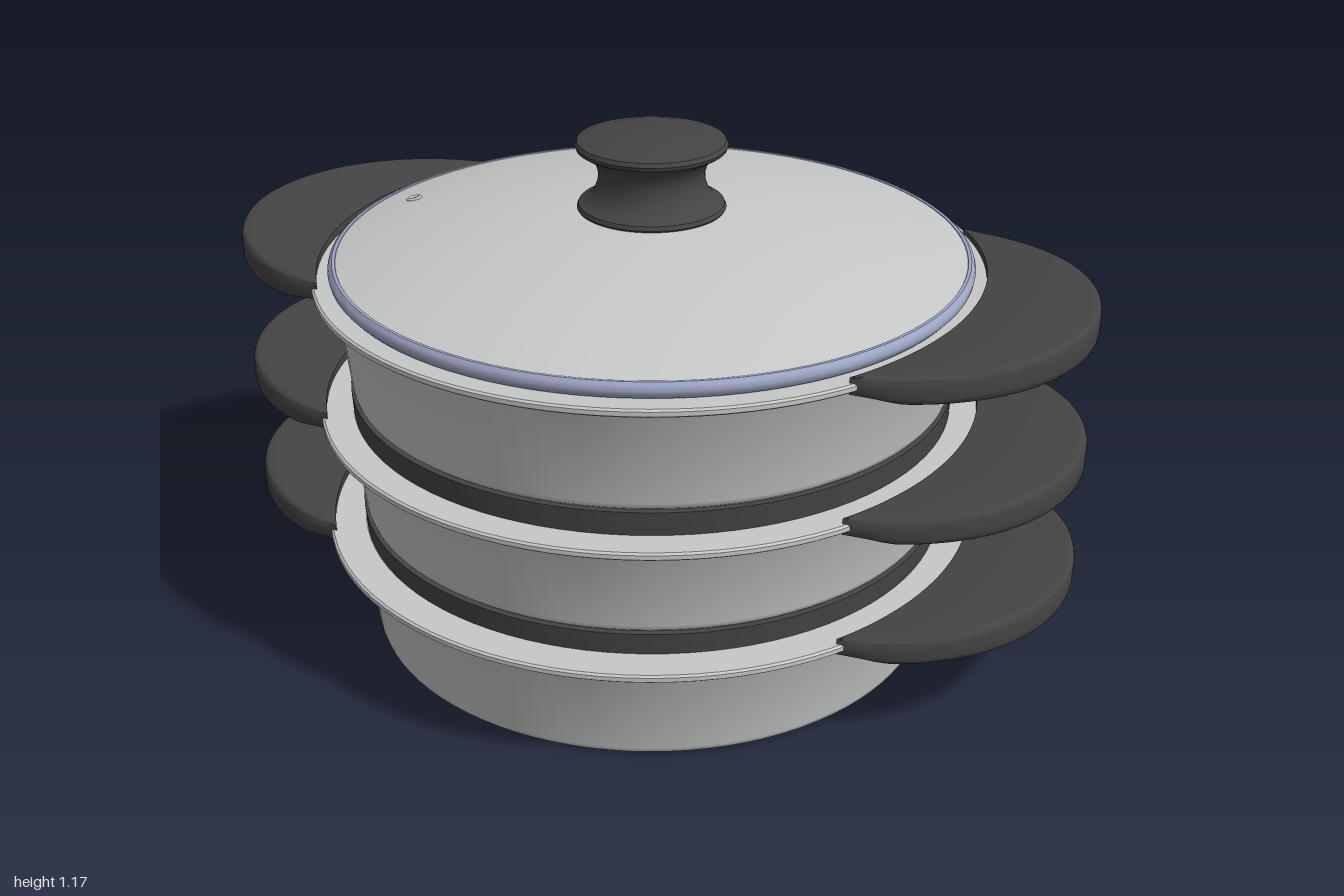
import * as THREE from 'three';
import { toCreasedNormals } from 'three/addons/utils/BufferGeometryUtils.js';

const steel = new THREE.MeshStandardMaterial({ name: 'steel', color: 0xc6c9c7 });
const black = new THREE.MeshStandardMaterial({ name: 'dark plastic', color: 0x444444 });
const blue = new THREE.MeshStandardMaterial({ name: 'blue grey rim', color: 0x9ea5c4 });

function add(parent, name, geometry, material) {
  const mesh = new THREE.Mesh(geometry, material);
  mesh.name = name;
  parent.add(mesh);
  return mesh;
}

// Turned part from [radius, height] points, listed from the bottom up
function turned(points, segments = 96) {
  const profile = points.map(([r, y]) => new THREE.Vector2(r, y));
  return toCreasedNormals(new THREE.LatheGeometry(profile, segments), 0.6);
}

// Crescent grip: rounded cross-sections swept around an arc, thinning to both tips
function handleGeometry() {
  const cx = 0.56, R = 0.44, inner = 0.745, end = 1.473, rings = 48, arc = 12;
  const pos = [], index = [];
  for (let i = 0; i <= rings; i++) {
    const a = -end + (2 * end * i) / rings, c = Math.cos(a), s = Math.sin(a);
    const start = Math.min(R - 0.001, -cx * c + Math.sqrt((cx * c) ** 2 + inner ** 2 - cx ** 2));
    const round = Math.min(0.025, (R - start) / 2);
    const put = (d, v) => {
      const x = cx + d * c;
      const k = THREE.MathUtils.clamp((x - 0.6) / 0.4, 0, 1);
      const top = 0.021 + 0.02 * k;
      const bottom = -0.016 - 0.018 * Math.min(1, k * 4);
      pos.push(x, THREE.MathUtils.lerp(bottom, top, (v + 1) / 2), d * s);
    };
    put(start, -1);
    for (let j = 0; j <= arc; j++) {
      const t = -Math.PI / 2 + (Math.PI * j) / arc;
      const cosT = Math.max(0, Math.cos(t)), sinT = Math.sin(t);
      put(R - round + round * Math.sqrt(cosT), Math.sign(sinT) * Math.sqrt(Math.abs(sinT)));
    }
    put(start, 1);
  }
  const n = arc + 3;
  for (let i = 0; i < rings; i++) {
    for (let j = 0; j < n; j++) {
      const p = i * n + j, q = i * n + ((j + 1) % n);
      index.push(p, q, p + n, q, q + n, p + n);
    }
  }
  const g = new THREE.BufferGeometry();
  g.setAttribute('position', new THREE.Float32BufferAttribute(pos, 3));
  g.setIndex(index);
  return toCreasedNormals(g, 0.7);
}

export function createModel() {
  const model = new THREE.Group();
  model.name = 'stackedPots';
  const grip = handleGeometry();

  // Three stacked pots: base height, flange height, base and top radius
  const pots = [
    { name: 'lowerPot', y0: 0, y1: 0.26, r0: 0.66, r1: 0.685 },
    { name: 'middlePot', y0: 0.315, y1: 0.548, r0: 0.673, r1: 0.695 },
    { name: 'upperPot', y0: 0.608, y1: 0.863, r0: 0.684, r1: 0.71 },
  ];
  pots.forEach(({ name, y0, y1, r0, r1 }, i) => {
    const pot = new THREE.Group();
    pot.name = name;
    model.add(pot);
    // Body with rounded foot, flat flange and a shallow lip inside
    add(pot, 'potBody', turned([
      [0, y0], [r0 - 0.022, y0], [r0 - 0.01, y0 + 0.003], [r0 - 0.003, y0 + 0.009], [r0, y0 + 0.02],
      [r1 - 0.002, y1 - 0.02], [r1 + 0.006, y1 - 0.009], [0.752, y1 - 0.009],
      [0.757, y1 - 0.005], [0.757, y1 + 0.005], [0.752, y1 + 0.009],
      [r1 - 0.01, y1 + 0.009], [r1 - 0.03, y1 - 0.01], [0, y1 - 0.01],
    ]), steel);
    // Dark seal between this pot and the next one
    if (i < 2) {
      const top = pots[i + 1].y0 + 0.002, r = pots[i + 1].r0 + 0.003;
      add(pot, 'sealBand', turned([[r - 0.05, y1], [r - 0.003, y1], [r, top], [r - 0.05, top]]), black);
    }
    for (const side of [1, -1]) {
      const handle = add(pot, side > 0 ? 'leftHandle' : 'rightHandle', grip, black);
      handle.position.y = y1;
      if (side < 0) handle.rotation.y = Math.PI;
    }
  });

  // Domed lid
  const lid = new THREE.Group();
  lid.name = 'lid';
  model.add(lid);
  const domeY = (r) => 1.006 - 0.2 * r * r;
  const dome = [[0.68, 0.862], [0.7, 0.88]];
  for (let i = 0; i <= 20; i++) {
    const r = 0.708 * (1 - i / 20);
    dome.push([r, domeY(r)]);
  }
  add(lid, 'lidDome', turned(dome), steel);
  add(lid, 'lidRim', turned([
    [0.69, 0.872], [0.71, 0.874], [0.718, 0.883], [0.72, 0.893],
    [0.717, 0.903], [0.71, 0.909], [0.703, 0.909], [0.698, 0.9],
  ]), blue);

  // Small steam vent
  const vent = add(lid, 'steamVent', new THREE.TorusGeometry(0.015, 0.004, 8, 24), steel);
  vent.position.set(-0.605, domeY(0.605) + 0.001, 0);
  vent.rotation.set(-Math.PI / 2, -0.24, 0);

  // Waisted knob
  add(lid, 'knob', turned([
    [0, 0.995], [0.16, 0.995], [0.166, 1.005], [0.162, 1.014], [0.142, 1.024], [0.127, 1.042],
    [0.119, 1.065], [0.118, 1.085], [0.124, 1.106], [0.137, 1.122], [0.155, 1.132], [0.166, 1.139],
    [0.169, 1.148], [0.164, 1.157], [0.13, 1.165], [0.07, 1.172], [0, 1.175],
  ], 64), black);

  return model;
}
